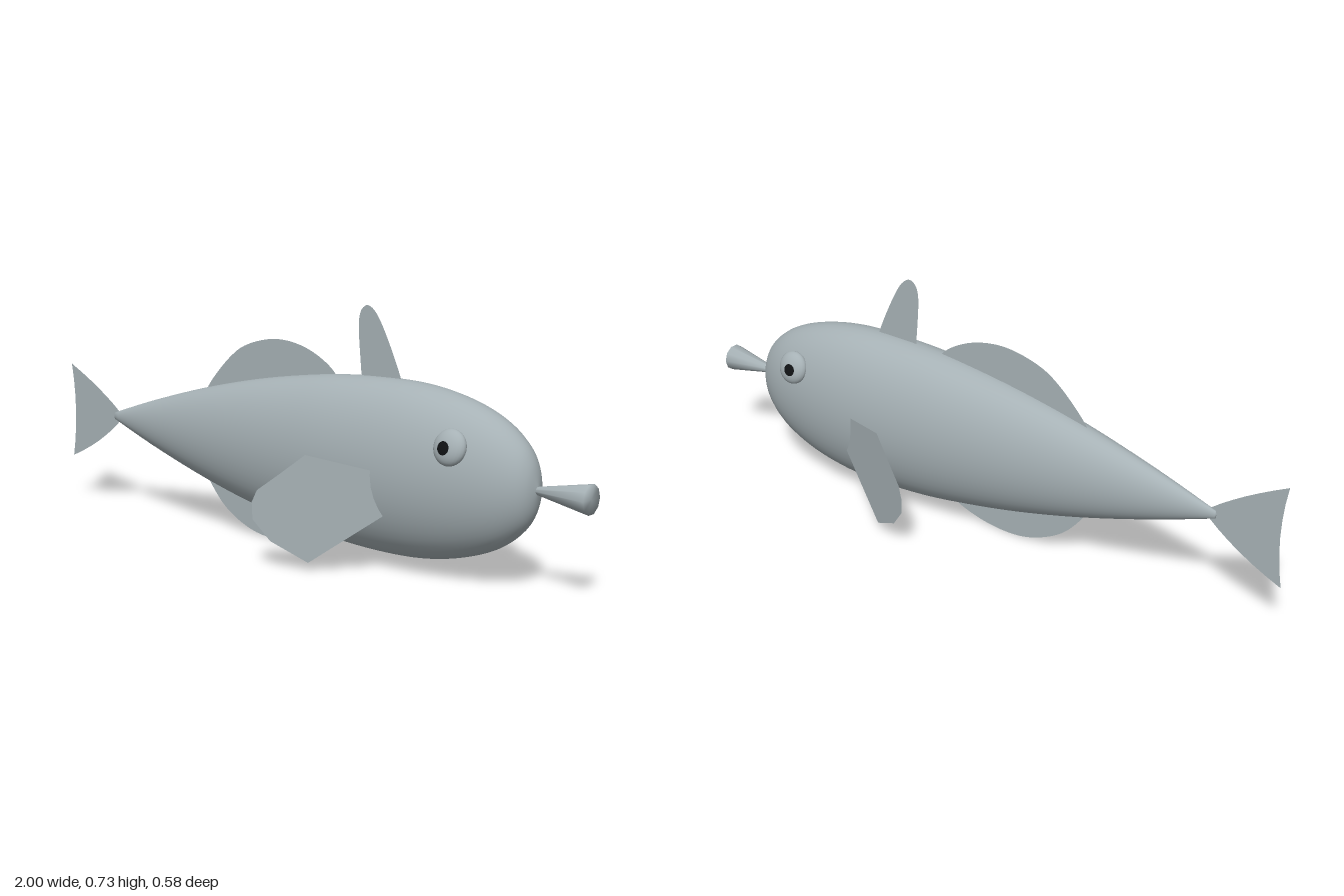
import * as THREE from 'three';

const grey = new THREE.MeshStandardMaterial({ color: 0xa6b1b5 });
grey.name = 'fish grey';
const finGrey = new THREE.MeshStandardMaterial({ color: 0xa6b1b5, side: THREE.DoubleSide });
finGrey.name = 'fin grey';
const black = new THREE.MeshStandardMaterial({ color: 0x101214 });
black.name = 'pupil black';

function add(parent, name, geometry, material) {
  const mesh = new THREE.Mesh(geometry, material);
  mesh.name = name;
  parent.add(mesh);
  return mesh;
}

// Lathe turned around the x axis; profile pairs are [x, radius]
function latheX(profile, sides) {
  const points = profile.map(([x, r]) => new THREE.Vector2(Math.max(r, 0), x));
  return new THREE.LatheGeometry(points, sides).rotateZ(-Math.PI / 2);
}

// Flat fin: straight root corners followed by a curved or straight rim
function finGeometry(start, rim, smooth = true) {
  const shape = new THREE.Shape();
  shape.moveTo(...start);
  if (smooth) shape.splineThru(rim.map((p) => new THREE.Vector2(...p)));
  else rim.forEach((p) => shape.lineTo(...p));
  shape.closePath();
  return new THREE.ShapeGeometry(shape, 10);
}

export function createModel() {
  const fish = new THREE.Group();
  fish.name = 'fish';

  // Body: smooth tapering form, flattened sideways, tail end slightly raised
  const curve = new THREE.SplineCurve([
    [-0.79, 0.012], [-0.6, 0.076], [-0.37, 0.143], [-0.15, 0.194], [0.05, 0.228], [0.2, 0.245],
    [0.37, 0.251], [0.5, 0.243], [0.62, 0.218], [0.72, 0.178], [0.79, 0.125], [0.825, 0.07], [0.84, 0],
  ].map(([x, r]) => new THREE.Vector2(x, r)));
  const profile = [[-0.793, 0], ...curve.getPoints(72).map((p) => [p.x, p.y])];
  const bodyGeometry = latheX(profile, 48).scale(1, 1, 0.57);
  const pos = bodyGeometry.attributes.position;
  for (let i = 0; i < pos.count; i++) {
    pos.setY(i, pos.getY(i) + 0.286 + 0.012 * Math.max(0, (0.3 - pos.getX(i)) / 1.1));
  }
  add(fish, 'body', bodyGeometry, grey);

  // Flared snout
  const snout = add(fish, 'snout', latheX([[0.82, 0], [0.82, 0.008], [1, 0.042], [1, 0]], 10), grey);
  snout.position.y = 0.285;

  // Fins along the middle plane
  const tail = new THREE.Shape();
  tail.moveTo(-0.76, 0.297);
  tail.lineTo(-0.77, 0.312);
  tail.quadraticCurveTo(-0.86, 0.383, -1, 0.45);
  tail.quadraticCurveTo(-0.97, 0.295, -1, 0.14);
  tail.quadraticCurveTo(-0.86, 0.2, -0.77, 0.282);
  add(fish, 'tailFin', new THREE.ShapeGeometry(tail, 6), finGrey);
  add(fish, 'rearDorsalFin', finGeometry([-0.37, 0.41], [
    [-0.365, 0.445], [-0.28, 0.535], [-0.2, 0.585], [-0.08, 0.61], [0.04, 0.59], [0.14, 0.53], [0.15, 0.46],
  ]), finGrey);
  add(fish, 'ventralFin', finGeometry([-0.38, 0.19], [
    [-0.375, 0.155], [-0.3, 0.07], [-0.2, 0.017], [-0.1, 0.001], [0.02, 0.018], [0.12, 0.065], [0.14, 0.14],
  ]), finGrey);
  add(fish, 'frontDorsalFin', finGeometry([0.24, 0.48], [
    [0.238, 0.53], [0.227, 0.685], [0.25, 0.733], [0.287, 0.718], [0.33, 0.647], [0.38, 0.535], [0.39, 0.48],
  ]), finGrey);

  for (const s of [1, -1]) {
    const side = s > 0 ? 'front' : 'back';

    // Side fin: flat outline leaning away from the body towards the tail
    const sideFin = finGeometry([0.46, 0.285], [
      [0.217, 0.333], [0.15, 0.275], [0.09, 0.225], [0.076, 0.19], [0.078, 0.14],
      [0.125, 0.08], [0.225, 0.025], [0.46, 0.205],
    ], false);
    const p = sideFin.attributes.position;
    for (let i = 0; i < p.count; i++) p.setZ(i, s * (0.22 - 0.47 * (p.getX(i) - 0.22)));
    sideFin.computeVertexNormals();
    add(fish, side + 'SideFin', sideFin, finGrey);

    // Bulging eye with a thin pupil cap
    const eye = new THREE.Group();
    eye.name = side + 'Eye';
    eye.position.set(0.633, 0.392, s * 0.115);
    eye.rotation.x = -s * 0.28;
    eye.scale.set(0.051, 0.051, 0.026);
    add(eye, 'eyeball', new THREE.SphereGeometry(1, 24, 16), grey);
    const cap = new THREE.SphereGeometry(1.03, 20, 6, 0, Math.PI * 2, 0, 0.37);
    const pupil = add(eye, 'pupil', cap.rotateX(s * Math.PI / 2), black);
    pupil.rotation.set(s * 0.12, -s * 0.1, 0);
    fish.add(eye);
  }

  return fish;
}
